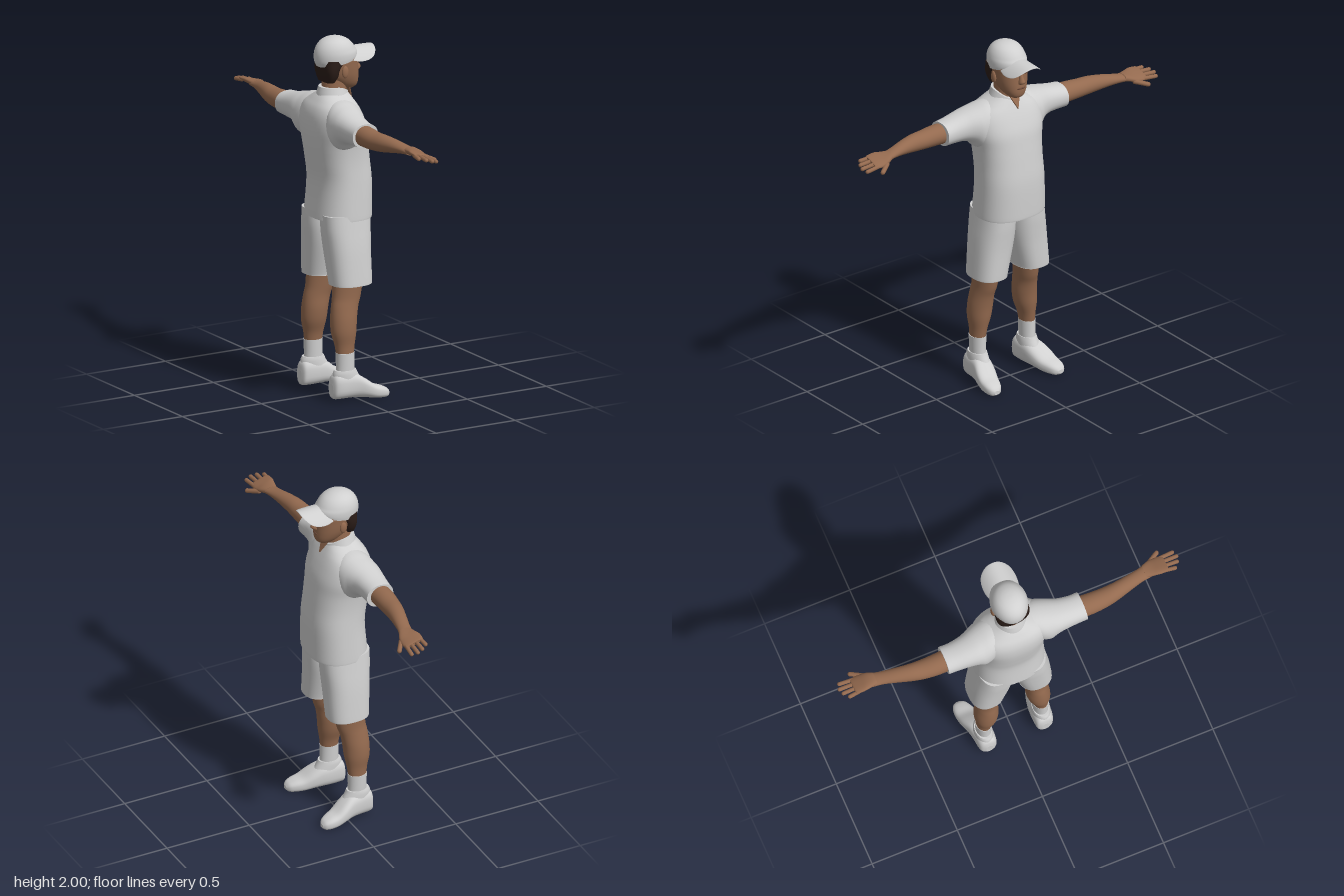
import * as THREE from 'three';

const mat = (name, color, side = THREE.FrontSide) => {
  const m = new THREE.MeshStandardMaterial({ color, side });
  m.name = name;
  return m;
};
const AXES = { x: ['y', 'z'], y: ['z', 'x'], z: ['x', 'y'] };

// Smoothly interpolate the numbers of neighbouring rows
function smoothRows(rows, steps) {
  const out = [];
  const at = i => rows[Math.max(0, Math.min(rows.length - 1, i))];
  for (let i = 0; i < rows.length - 1; i++) {
    for (let s = 0; s < steps; s++) {
      const t = s / steps;
      out.push(rows[i].map((p1, k) => {
        const p0 = at(i - 1)[k], p2 = at(i + 1)[k], p3 = at(i + 2)[k];
        return p1 + 0.5 * t * (p2 - p0 + t * (2 * p0 - 5 * p1 + 4 * p2 - p3 + t * (3 * (p1 - p2) + p3 - p0)));
      }));
    }
  }
  out.push(rows[rows.length - 1]);
  return out;
}

// Closed loft along an axis; row = [position, minA, maxA, minB, maxB]
function loft(axis, rows, { power = 2, seg = 32, steps = 4, warp } = {}) {
  const [a, b] = AXES[axis], pts = [], idx = [], rings = smoothRows(rows, steps);
  const p = (t, u, v) => {
    const q = new THREE.Vector3();
    q[axis] = t; q[a] = u; q[b] = v;
    if (warp) warp(q);
    pts.push(q);
  };
  const bend = v => Math.sign(v) * Math.abs(v) ** (2 / power);
  const ring = ([t, a0, a1, b0, b1]) => {
    for (let i = 0; i < seg; i++) {
      const w = i / seg * Math.PI * 2;
      p(t, (a0 + a1) / 2 + (a1 - a0) / 2 * bend(Math.cos(w)), (b0 + b1) / 2 + (b1 - b0) / 2 * bend(Math.sin(w)));
    }
  };
  rings.forEach(ring);
  for (let j = 0; j < rings.length - 1; j++) {
    for (let i = 0; i < seg; i++) {
      const c = j * seg + i, d = j * seg + (i + 1) % seg;
      idx.push(c, d, d + seg, c, d + seg, c + seg);
    }
  }
  for (const [r, end] of [[rings[0], false], [rings[rings.length - 1], true]]) {
    const s = pts.length;
    ring(r);
    p(r[0], (r[1] + r[2]) / 2, (r[3] + r[4]) / 2);
    for (let i = 0; i < seg; i++) {
      const c = s + i, d = s + (i + 1) % seg;
      idx.push(s + seg, end ? c : d, end ? d : c);
    }
  }
  const g = new THREE.BufferGeometry().setFromPoints(pts);
  g.setIndex(idx);
  g.computeVertexNormals();
  return g;
}

// Upright loft from rows [y, back, front, z centre, half width]
const upright = (rows, opts) => loft('y', rows.map(([y, b, f, c, h]) => [y, c - h, c + h, b, f]), opts);

function mirrorZ(geo) {
  const g = geo.clone().scale(1, 1, -1), ix = g.index.array;
  for (let i = 0; i < ix.length; i += 3) [ix[i], ix[i + 1]] = [ix[i + 1], ix[i]];
  g.computeVertexNormals();
  return g;
}

function finger(from, to, r) {
  const a = new THREE.Vector3(...from), b = new THREE.Vector3(...to), d = b.clone().sub(a);
  const g = new THREE.CapsuleGeometry(r, d.length() - r, 5, 10);
  g.applyQuaternion(new THREE.Quaternion().setFromUnitVectors(new THREE.Vector3(0, 1, 0), d.normalize()));
  return g.translate(...a.add(b).multiplyScalar(0.5).toArray());
}

const ball = (x, y, z, sx, sy, sz) => new THREE.SphereGeometry(1, 20, 14).scale(sx, sy, sz).translate(x, y, z);

export function createModel() {
  const root = new THREE.Group();
  const white = mat('white cloth', 0xd0d0d0), skin = mat('skin', 0x946a4f);
  const hair = mat('dark hair', 0x2b1d18), shade = mat('brow and lips', 0x6b4838);
  const add = (name, geo, m) => {
    const mesh = new THREE.Mesh(geo, m);
    mesh.name = name;
    root.add(mesh);
  };
  const pair = (name, geo, m) => {
    add('left' + name, mirrorZ(geo), m);
    add('right' + name, geo, m);
  };

  // Shirt body, collar and open neck
  add('shirt', upright([
    [1.0, -0.18, 0.148, 0, 0.2], [1.03, -0.178, 0.15, 0, 0.2], [1.2, -0.165, 0.15, 0, 0.193],
    [1.32, -0.18, 0.138, 0, 0.19], [1.42, -0.195, 0.125, 0, 0.197], [1.5, -0.202, 0.112, 0, 0.212],
    [1.57, -0.198, 0.088, 0, 0.21], [1.62, -0.183, 0.066, 0, 0.185], [1.655, -0.16, 0.048, 0, 0.135],
    [1.68, -0.14, 0.034, 0, 0.095], [1.7, -0.12, 0.02, 0, 0.07],
  ], { power: 2.4, seg: 48 }), white);
  add('collar', upright([
    [1.655, -0.145, 0.052, 0, 0.1], [1.69, -0.138, 0.045, 0, 0.086], [1.725, -0.128, 0.036, 0, 0.074],
  ], {
    warp: q => { q.y -= 0.045 * THREE.MathUtils.clamp((q.x + 0.06) / 0.1, 0, 1) ** 2; },
  }), white);
  const vee = new THREE.Shape([[0, -0.045], [0.034, 0.035], [-0.034, 0.035]].map(v => new THREE.Vector2(...v)));
  add('openNeck', new THREE.ExtrudeGeometry(vee, { depth: 0.008, bevelEnabled: false })
    .rotateY(Math.PI / 2).rotateZ(0.42).translate(0.05, 1.672, 0), skin);

  // Sleeves and arms
  pair('Sleeve', loft('z', [
    [0.07, -0.14, 0.02, 1.5, 1.672], [0.14, -0.175, 0.045, 1.43, 1.665], [0.19, -0.185, 0.04, 1.41, 1.653],
    [0.23, -0.182, 0.02, 1.45, 1.643], [0.28, -0.176, 0, 1.468, 1.63], [0.35, -0.17, -0.01, 1.472, 1.614],
    [0.407, -0.168, -0.008, 1.474, 1.606],
  ], { power: 2.2 }), white);
  pair('Arm', loft('z', [
    [0.36, -0.15, -0.028, 1.483, 1.598], [0.45, -0.152, -0.034, 1.484, 1.596], [0.53, -0.145, -0.036, 1.488, 1.59],
    [0.6, -0.132, -0.034, 1.495, 1.59], [0.68, -0.11, -0.025, 1.508, 1.582], [0.76, -0.088, -0.012, 1.519, 1.568],
    [0.82, -0.08, 0.006, 1.523, 1.56],
  ]), skin);

  // Hands
  pair('Palm', loft('z', [
    [0.79, -0.077, -0.004, 1.525, 1.565], [0.83, -0.083, 0.014, 1.524, 1.562],
    [0.87, -0.09, 0.02, 1.523, 1.557], [0.91, -0.088, 0.018, 1.526, 1.551], [0.918, -0.08, 0.012, 1.53, 1.547],
  ], { power: 2.4, warp: q => { q.y -= 0.3 * (q.x + 0.035) * Math.min(1, (q.z - 0.79) * 15); } }), skin);
  [[-0.076, -0.083, 0.96, 1.546], [-0.048, -0.05, 0.984, 1.54], [-0.02, -0.018, 0.994, 1.532], [0.007, 0.014, 0.983, 1.524]]
    .forEach(([x0, x1, z, y], i) => pair('Finger' + (i + 1), finger([x0, y, 0.895], [x1, y - 0.006, z], 0.0115), skin));
  pair('Thumb', finger([0.005, 1.524, 0.835], [0.052, 1.504, 0.905], 0.013), skin);

  // Shorts
  pair('ShortsLeg', upright([
    [0.645, -0.14, 0.094, 0.14, 0.097], [0.66, -0.142, 0.096, 0.14, 0.097], [0.8, -0.153, 0.1, 0.118, 0.107],
    [0.88, -0.16, 0.105, 0.107, 0.109], [0.95, -0.166, 0.11, 0.1, 0.106], [1.03, -0.168, 0.112, 0.095, 0.1],
  ], { power: 2.5 }), white);

  // Legs, socks and shoes
  pair('Leg', upright([
    [0.25, -0.122, -0.022, 0.167, 0.041], [0.31, -0.13, -0.014, 0.163, 0.046], [0.38, -0.146, -0.002, 0.156, 0.062],
    [0.45, -0.147, 0.005, 0.15, 0.066], [0.52, -0.14, 0.018, 0.145, 0.061], [0.58, -0.13, 0.038, 0.139, 0.061],
    [0.68, -0.125, 0.055, 0.135, 0.068],
  ]), skin);
  pair('Sock', upright([
    [0.1, -0.128, -0.012, 0.167, 0.04], [0.18, -0.124, -0.018, 0.167, 0.042], [0.268, -0.126, -0.018, 0.167, 0.0445],
  ]), white);
  pair('Shoe', loft('x', [
    [-0.157, 0.03, 0.1, 0.145, 0.185], [-0.147, 0.016, 0.14, 0.122, 0.208], [-0.12, 0.014, 0.156, 0.114, 0.22],
    [-0.07, 0.014, 0.154, 0.112, 0.226], [-0.02, 0.014, 0.148, 0.115, 0.236], [0.03, 0.01, 0.118, 0.125, 0.252],
    [0.08, 0.002, 0.082, 0.142, 0.26], [0.125, 0, 0.066, 0.16, 0.26], [0.155, 0.002, 0.052, 0.178, 0.25],
    [0.17, 0.012, 0.034, 0.2, 0.232],
  ], { power: 2.7 }), white);
  pair('ShoeOpening', upright([
    [0.1, -0.15, 0.03, 0.168, 0.052], [0.15, -0.145, 0.002, 0.168, 0.05], [0.172, -0.136, -0.008, 0.168, 0.046],
  ]), white);

  // Neck and head
  add('neck', upright([[1.64, -0.125, 0.035, 0, 0.075], [1.7, -0.112, 0.028, 0, 0.064], [1.8, -0.105, 0.035, 0, 0.062]]), skin);
  add('head', upright([
    [1.7, 0.02, 0.07, 0, 0.024], [1.715, -0.015, 0.092, 0, 0.046], [1.74, -0.055, 0.1, 0, 0.065],
    [1.775, -0.095, 0.101, 0, 0.08], [1.81, -0.113, 0.099, 0, 0.088], [1.85, -0.123, 0.096, 0, 0.093],
    [1.88, -0.126, 0.095, 0, 0.094], [1.93, -0.12, 0.07, 0, 0.085],
  ], { power: 2.2 }), skin);
  add('nose', upright([
    [1.795, 0.08, 0.112, 0, 0.019], [1.808, 0.08, 0.127, 0, 0.018], [1.83, 0.08, 0.116, 0, 0.013], [1.86, 0.08, 0.101, 0, 0.009],
  ], { seg: 16 }), skin);
  add('lips', ball(0.097, 1.767, 0, 0.008, 0.006, 0.027), shade);
  pair('Eye', ball(0.087, 1.85, 0.037, 0.009, 0.008, 0.021), shade);
  pair('Ear', ball(-0.025, 1.815, 0.093, 0.02, 0.034, 0.011), skin);
  add('hair', upright([
    [1.755, -0.117, -0.06, 0, 0.066], [1.79, -0.125, -0.044, 0, 0.085], [1.83, -0.13, -0.035, 0, 0.095],
    [1.88, -0.132, 0.015, 0, 0.097],
  ], { power: 2.8 }), hair);

  // Cap crown and curved brim
  add('capCrown', upright([
    [1.84, -0.142, 0.092, 0, 0.099], [1.87, -0.153, 0.095, 0, 0.102], [1.91, -0.153, 0.088, 0, 0.101],
    [1.945, -0.142, 0.071, 0, 0.092], [1.973, -0.12, 0.046, 0, 0.074], [1.99, -0.092, 0.016, 0, 0.05],
    [1.998, -0.064, -0.012, 0, 0.025], [2.0, -0.045, -0.035, 0, 0.005],
  ], {
    seg: 40,
    warp: q => { q.y += 0.19 * (q.x + 0.15) * THREE.MathUtils.clamp((1.93 - q.y) / 0.09, 0, 1); },
  }), white);
  add('capBrim', loft('x', [
    [0.02, 1.905, 1.93, 0.086], [0.07, 1.908, 1.93, 0.097], [0.12, 1.913, 1.929, 0.097],
    [0.16, 1.915, 1.928, 0.085], [0.185, 1.916, 1.927, 0.06], [0.197, 1.918, 1.926, 0.033], [0.2, 1.92, 1.924, 0.008],
  ].map(([x, y0, y1, h]) => [x, y0, y1, -h, h]), {
    seg: 40, warp: q => { q.y -= 6 * q.z * q.z; },
  }), white);
  return root;
}
